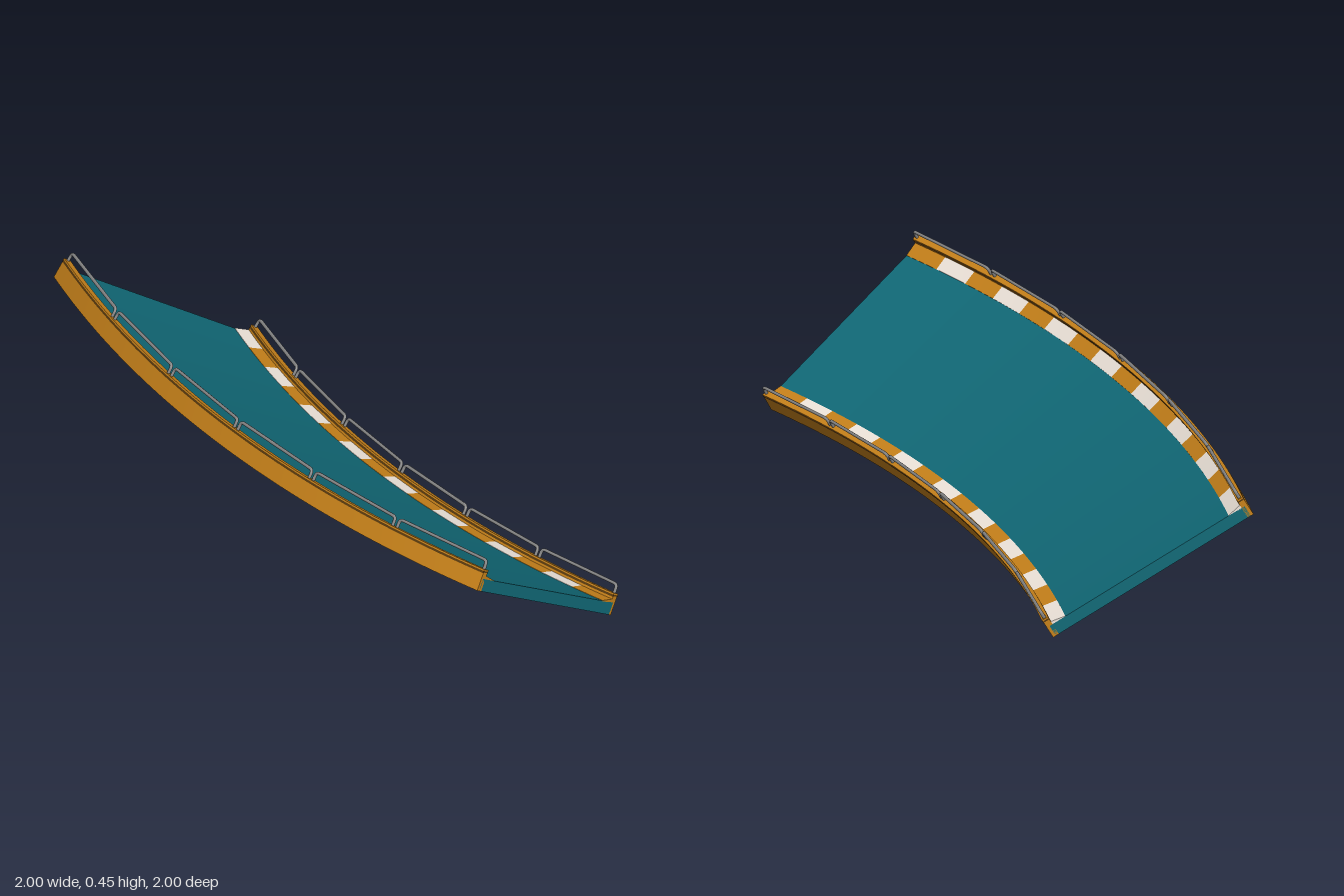
import * as THREE from 'three';
import { mergeGeometries } from 'three/addons/utils/BufferGeometryUtils.js';

// Banked road bend: a 30 degree arc, its cross-section tilted by 30 degrees
const C = 2.93, R = 3.903, W = 0.733, BANK = Math.PI / 6;
const START = Math.PI / 6, END = Math.PI / 3, SWEEP = END - START;
const STRIPES = 16, RAILS = 6;

const mat = (color) => new THREE.MeshStandardMaterial({ color });
const teal = mat(0x116a78), orange = mat(0xc8821a), brown = mat(0x5a3a0c);
const white = mat(0xf0e6dc), grey = mat(0x888888);

// u runs across the road from the inner edge, v stands square to its surface
function place(u, v, angle) {
  const r = R + u * Math.cos(BANK) - v * Math.sin(BANK);
  const y = u * Math.sin(BANK) + v * Math.cos(BANK);
  return new THREE.Vector3(C - r * Math.cos(angle), y, -C + r * Math.sin(angle));
}

// Sweep a closed counter-clockwise (u, v) profile along the bend
function sweep(profile, a0 = START, a1 = END, steps = 48) {
  const pos = [], idx = [];
  const add = (u, v, a) => pos.push(...place(u, v, a).toArray());
  profile.forEach((p, i) => {
    const q = profile[(i + 1) % profile.length];
    const base = pos.length / 3;
    for (let k = 0; k <= steps; k++) {
      const a = a0 + (a1 - a0) * k / steps;
      add(...p, a);
      add(...q, a);
      if (k === 0) continue;
      const n = base + 2 * k;
      idx.push(n, n + 1, n - 1, n, n - 1, n - 2);
    }
  });
  // End caps
  const tris = THREE.ShapeUtils.triangulateShape(profile.map((p) => new THREE.Vector2(...p)), []);
  [a0, a1].forEach((a, end) => {
    const base = pos.length / 3;
    profile.forEach((p) => add(...p, a));
    tris.forEach(([i, j, k]) => idx.push(base + i, base + (end ? k : j), base + (end ? j : k)));
  });
  const g = new THREE.BufferGeometry();
  g.setAttribute('position', new THREE.Float32BufferAttribute(pos, 3));
  g.setIndex(idx);
  g.computeVertexNormals();
  return g;
}

// One guard rail: a bent tube with two posts and rounded corners
function railGeometry(u, a0, a1) {
  const foot = 0.066, top = 0.098, bend = 0.014;
  const p = [place(u, foot, a0), place(u, top, a0), place(u, top, a1), place(u, foot, a1)];
  const toward = (a, b) => a.clone().add(b.clone().sub(a).setLength(bend));
  const path = new THREE.CurvePath();
  let from = p[0];
  for (const i of [1, 2]) {
    const s = toward(p[i], p[i - 1]), e = toward(p[i], p[i + 1]);
    path.add(new THREE.LineCurve3(from, s));
    path.add(new THREE.QuadraticBezierCurve3(s, p[i], e));
    from = e;
  }
  path.add(new THREE.LineCurve3(from, p[3]));
  return new THREE.TubeGeometry(path, 72, 0.0055, 6, false);
}

export function createModel() {
  const model = new THREE.Group();
  const add = (parent, name, geometry, material) => {
    const mesh = new THREE.Mesh(geometry, material);
    mesh.name = name;
    parent.add(mesh);
  };

  // Road slab
  add(model, 'roadSlab', sweep([[0.01, 0], [W - 0.01, 0], [W - 0.01, 0.04], [0.01, 0.04]]), teal);

  for (const outer of [false, true]) {
    const side = new THREE.Group();
    side.name = outer ? 'outerEdge' : 'innerEdge';
    model.add(side);
    const flip = (profile) => outer ? profile.map(([u, v]) => [W - u, v]).reverse() : profile;

    // Edge wall, dark seam and cap
    add(side, 'wall', sweep(flip([[0, 0], [0.021, 0], [0.021, 0.06], [0, 0.06]])), orange);
    add(side, 'wallSeam', sweep(flip([[-0.001, 0.058], [0.022, 0.058], [0.022, 0.065], [-0.001, 0.065]])), brown);
    add(side, 'wallCap', sweep(flip([[-0.001, 0.065], [0.022, 0.065], [0.022, 0.07], [-0.001, 0.07]])), orange);

    // Striped kerb
    const kerb = flip([[0.02, 0.038], [0.068, 0.038], [0.068, 0.041], [0.02, 0.051]]);
    const stripes = [[], []];
    for (let i = 0; i < STRIPES; i++) {
      const a = START + SWEEP * i / STRIPES;
      stripes[i % 2].push(sweep(kerb, a, a + SWEEP / STRIPES, 3));
    }
    add(side, 'whiteKerbStripes', mergeGeometries(stripes[0]), white);
    add(side, 'orangeKerbStripes', mergeGeometries(stripes[1]), orange);

    // Guard rails
    const rails = [], gap = 0.0022;
    for (let i = 0; i < RAILS; i++) {
      const a = START + SWEEP * i / RAILS;
      rails.push(railGeometry(outer ? W - 0.01 : 0.01, a + gap, a + SWEEP / RAILS - gap));
    }
    add(side, 'guardRails', mergeGeometries(rails), grey);
  }
  return model;
}
